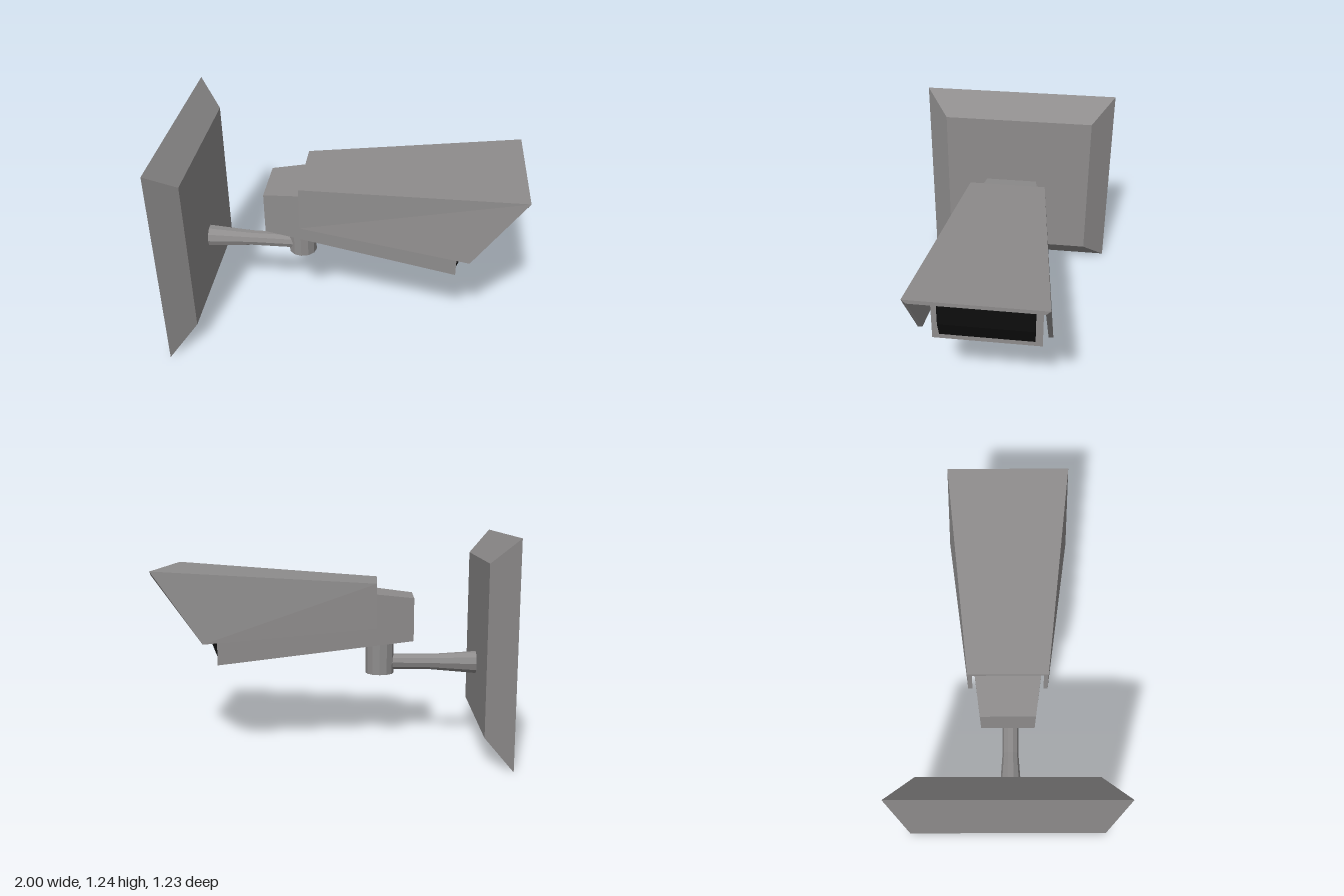
import * as THREE from 'three';

const grey = new THREE.MeshStandardMaterial({ color: 0x8e8c8c, flatShading: true });
grey.name = 'grey metal';
const black = new THREE.MeshStandardMaterial({ color: 0x0d0d0d, flatShading: true });
black.name = 'black glass';

// Joins a back section to a front section; caps lists the quads closing each end.
// Sections run from +z bottom over the top to -z bottom.
function loft(name, back, front, caps, material) {
  const pos = [];
  const quad = (a, b, c, d) => [a, b, c, a, c, d].forEach(p => pos.push(...p));
  back.forEach((p, i) => {
    const j = (i + 1) % back.length;
    quad(p, front[i], front[j], back[j]);
  });
  for (const [a, b, c, d] of caps) {
    quad(back[a], back[b], back[c], back[d]);
    quad(front[d], front[c], front[b], front[a]);
  }
  const g = new THREE.BufferGeometry();
  g.setAttribute('position', new THREE.Float32BufferAttribute(pos, 3));
  g.computeVertexNormals();
  const mesh = new THREE.Mesh(g, material);
  mesh.name = name;
  return mesh;
}

// Upright rectangle at x
const rect = (x, y0, y1, z) => [[x, y0, z], [x, y1, z], [x, y1, -z], [x, y0, -z]];
const boxCap = [[0, 1, 2, 3]];

// Arch section: outer and inner outlines, each with a lower and an upper corner
function arch(outLow, outTop, inLow, inTop) {
  const flip = ([x, y, z]) => [x, y, -z];
  return [outLow, outTop, flip(outTop), flip(outLow), flip(inLow), flip(inTop), inTop, inLow];
}

export function createModel() {
  const model = new THREE.Group();
  model.name = 'securityCamera';

  // Bevelled wall plate
  model.add(loft('wallPlate', rect(-1, 0, 1.24, 0.617), rect(-0.86, 0.145, 1.1, 0.477), boxCap, grey));

  // Arm that narrows away from the wall
  const armProfile = [[0, 0], [0.067, 0], [0.047, 0.27], [0.047, 0.53], [0, 0.53]]
    .map(([r, t]) => new THREE.Vector2(r, t));
  const arm = new THREE.Mesh(new THREE.LatheGeometry(armProfile, 10), grey);
  arm.name = 'arm';
  arm.rotation.z = -Math.PI / 2;
  arm.position.set(-0.865, 0.472, 0.015);
  model.add(arm);

  // Post under the housing
  const post = new THREE.Mesh(new THREE.CylinderGeometry(0.084, 0.084, 0.24, 12), grey);
  post.name = 'post';
  post.position.set(-0.285, 0.525, 0);
  model.add(post);

  // Tapered housing
  model.add(loft('housing', rect(-0.48, 0.625, 0.875, 0.155), rect(0.64, 0.5, 0.998, 0.305), boxCap, grey));

  // Front glass, sloped along its lower edge
  model.add(loft('glassLower', rect(0.638, 0.53, 0.63, 0.265),
    [[0.642, 0.53, 0.265], [0.68, 0.63, 0.265], [0.68, 0.63, -0.265], [0.642, 0.53, -0.265]], boxCap, black));
  model.add(loft('glassUpper', rect(0.638, 0.63, 0.95, 0.265), rect(0.68, 0.63, 0.95, 0.265), boxCap, black));

  // Open hood with a slanted front
  model.add(loft('hood',
    arch([-0.265, 0.71, 0.23], [-0.265, 0.965, 0.225], [-0.265, 0.71, 0.205], [-0.265, 0.945, 0.2]),
    arch([0.71, 0.63, 0.363], [1, 1.04, 0.36], [0.71, 0.63, 0.338], [1, 1.018, 0.336]),
    [[0, 1, 6, 7], [1, 2, 5, 6], [2, 3, 4, 5]], grey));

  return model;
}
